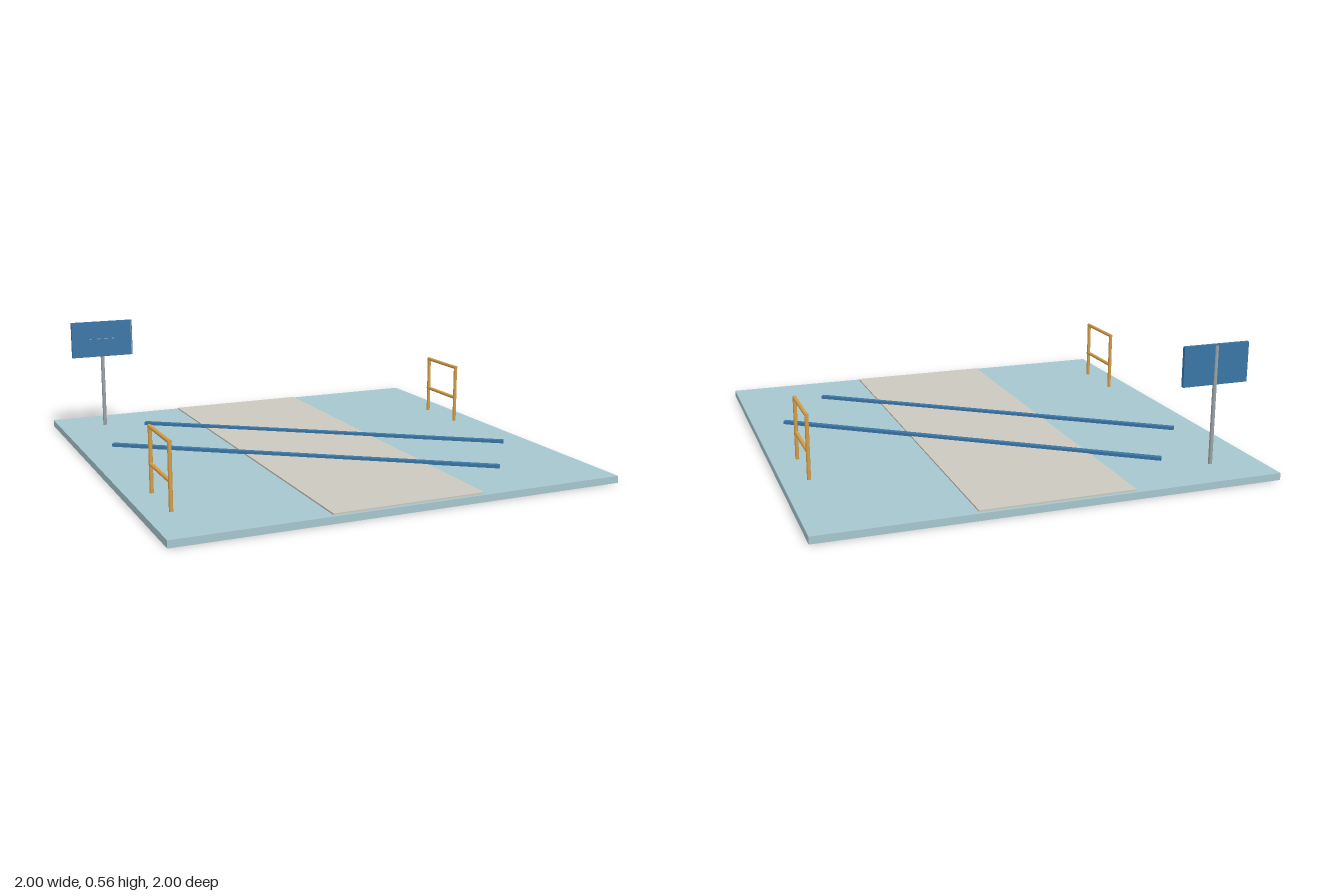
import * as THREE from 'three';

const mat = (name, color) => {
  const m = new THREE.MeshStandardMaterial({ color });
  m.name = name;
  return m;
};

export function createModel() {
  const paleBlue = mat('pale blue', 0xa6c6ce);
  const sand = mat('sand grey', 0xcbc9be);
  const blue = mat('blue', 0x3a76a6);
  const ochre = mat('ochre', 0xd6a04a);
  const steel = mat('steel grey', 0x9ca5a9);

  const model = new THREE.Group();
  model.name = 'crossingPlatform';

  const add = (parent, name, geometry, material, x, y, z) => {
    const mesh = new THREE.Mesh(geometry, material);
    mesh.name = name;
    mesh.position.set(x, y, z);
    parent.add(mesh);
    return mesh;
  };
  const box = (parent, name, w, h, d, material, x, y, z) =>
    add(parent, name, new THREE.BoxGeometry(w, h, d), material, x, y, z);
  const rod = (parent, name, r, length, material, x, y, z) =>
    add(parent, name, new THREE.CylinderGeometry(r, r, length, 10), material, x, y, z);

  // Ground slab with a slightly raised path
  box(model, 'slab', 2, 0.031, 2, paleBlue, 0, 0.0155, 0);
  box(model, 'path', 0.674, 0.008, 1.97, sand, 0, 0.034, 0);

  // Two parallel diagonal bars
  for (const side of [-1, 1]) {
    const bar = box(model, 'diagonalBar', 1.79, 0.014, 0.025, blue, side * 0.128, 0.043, -side * 0.178);
    bar.rotation.y = -0.626;
  }

  // Hoop barriers: two posts, a top rail and a middle rail
  const r = 0.0085;
  for (const [x, z] of [[0.885, -0.289], [-0.89, 0.558]]) {
    const barrier = new THREE.Group();
    barrier.name = 'barrier';
    barrier.position.set(x, 0, z);
    for (const side of [-1, 1]) rod(barrier, 'barrierPost', r, 0.285, ochre, 0, 0.1725, side * 0.133);
    for (const y of [0.309, 0.152]) {
      rod(barrier, 'barrierRail', r, 0.28, ochre, 0, y, 0).rotation.x = Math.PI / 2;
    }
    model.add(barrier);
  }

  // Sign on a slim post
  const sign = new THREE.Group();
  sign.name = 'sign';
  sign.position.set(-0.78, 0, -0.8);
  rod(sign, 'signPost', 0.009, 0.525, steel, 0, 0.2925, 0);
  box(sign, 'signBoard', 0.304, 0.175, 0.016, blue, 0, 0.4725, 0.004);
  // Faint painted dashes on the board
  for (const [x, w] of [[-0.06, 0.012], [-0.015, 0.02], [0.02, 0.02], [0.055, 0.012]]) {
    box(sign, 'signDash', w, 0.003, 0.002, steel, x, 0.474, 0.0122);
  }
  box(sign, 'signEdgeLine', 0.003, 0.17, 0.002, steel, 0.147, 0.4725, 0.0122);
  model.add(sign);

  // Small plate set into the underside below the sign
  const plate = new THREE.Shape();
  plate.moveTo(-0.04, 0.03).lineTo(0.03, 0.045).lineTo(0.05, -0.01).lineTo(0.01, -0.045).closePath();
  const anchor = add(model, 'anchorPlate', new THREE.ShapeGeometry(plate), blue, -0.76, -0.0005, -0.78);
  anchor.rotation.x = Math.PI / 2;
  blue.side = THREE.DoubleSide;

  return model;
}
